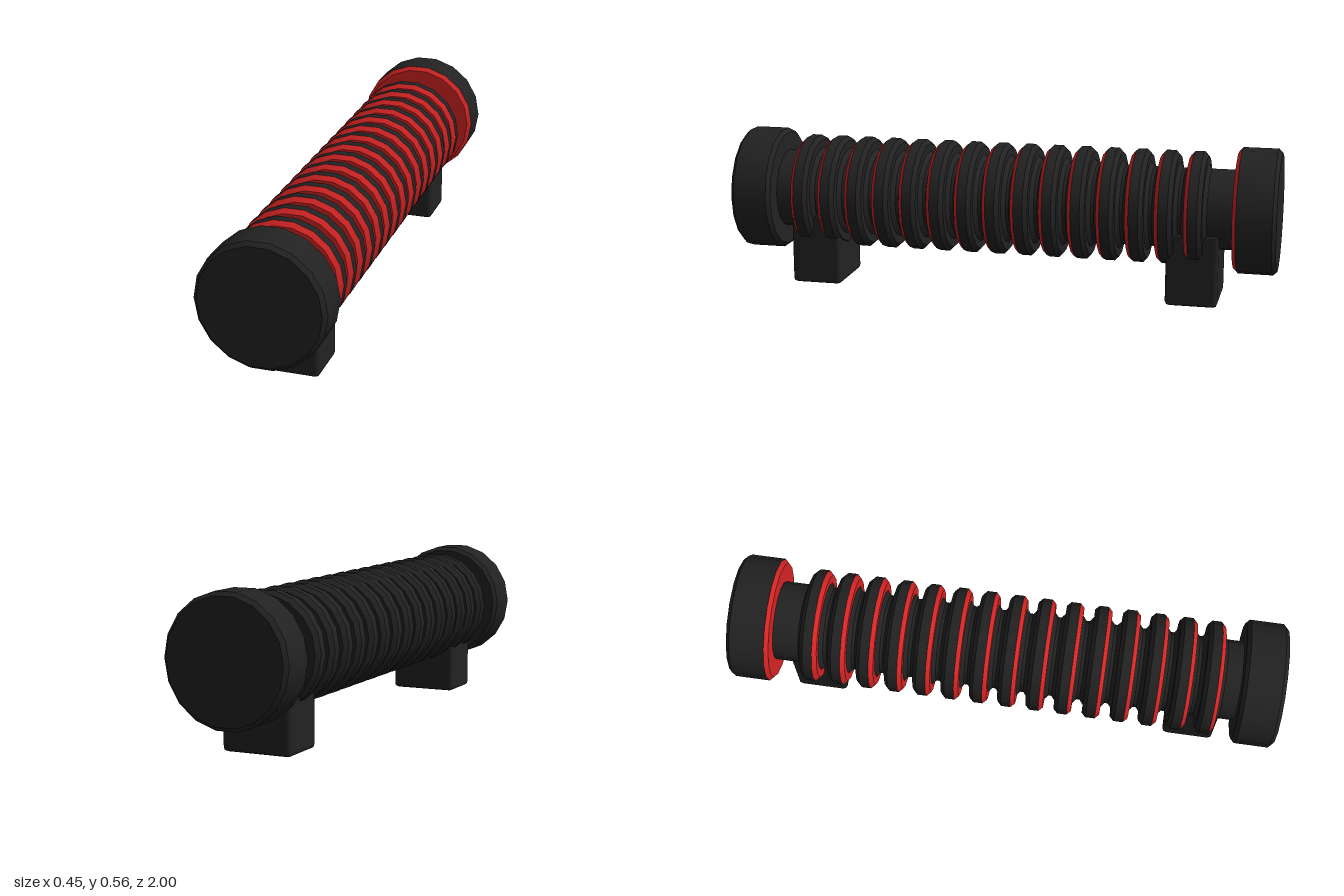
import * as THREE from 'three';
import { mergeGeometries } from 'three/addons/utils/BufferGeometryUtils.js';
import { RoundedBoxGeometry } from 'three/addons/geometries/RoundedBoxGeometry.js';

const SIDES = 18, AXIS_Y = 0.336;

// Turned shape along z from [radius, z] points in order of rising z;
// smooth around the axis, sharp between profile steps.
function turned(points) {
  const bands = [];
  for (let i = 0; i < points.length - 1; i++) {
    const pair = [points[i], points[i + 1]].map(([r, z]) => new THREE.Vector2(r, z));
    bands.push(new THREE.LatheGeometry(pair, SIDES, Math.PI / 2));
  }
  return mergeGeometries(bands).rotateX(Math.PI / 2);
}

export function createModel() {
  const black = new THREE.MeshStandardMaterial({ color: 0x222222 });
  black.name = 'matte black';
  const red = new THREE.MeshStandardMaterial({ color: 0xd42424 });
  red.name = 'red';

  const model = new THREE.Group();
  model.name = 'ribbedCylinder';
  const add = (parent, name, geometry, material) => {
    const mesh = new THREE.Mesh(geometry, material);
    mesh.name = name;
    parent.add(mesh);
    return mesh;
  };

  const body = new THREE.Group();
  body.name = 'body';
  body.position.y = AXIS_Y;
  model.add(body);

  // Central tube
  add(body, 'core', turned([[0.145, -0.86], [0.145, 0.86]]), black);

  // End caps; the rear one has a red inner face
  const R = 0.227, b = 0.014;
  add(body, 'frontCap', turned([
    [0.1, 0.848], [R - b, 0.848], [R, 0.848 + b], [R, 1 - b], [R - b, 1], [0, 1],
  ]), black);
  add(body, 'rearCap', turned([
    [0, -1], [R - b, -1], [R, -1 + b], [R, -0.846 - b],
  ]), black);
  add(body, 'rearCapFace', turned([
    [R, -0.846 - b], [R - b, -0.846], [0.1, -0.846],
  ]), red);

  // Ribs: black back and rim, red front face, small black flares at the root
  const r = 0.206, w = 0.064, c = 0.015;
  const ribBack = turned([
    [0.145, -w - 0.014], [0.162, -w], [r - c, -w], [r, -w + c], [r, -c],
  ]);
  const ribFace = turned([[r, -c], [r - c, 0], [0.162, 0]]);
  const ribRoot = turned([[0.162, 0], [0.145, 0.014]]);
  for (let i = 0; i < 15; i++) {
    const rib = new THREE.Group();
    rib.name = 'rib' + (i + 1);
    rib.position.z = 0.777 - i * 0.1037;
    add(rib, 'ribRim', ribBack, black);
    add(rib, 'ribFace', ribFace, red);
    add(rib, 'ribRoot', ribRoot, black);
    body.add(rib);
  }

  // Mounting feet
  const footGeometry = new RoundedBoxGeometry(0.256, 0.27, 0.188, 1, 0.015);
  for (const [name, z] of [['frontFoot', 0.706], ['rearFoot', -0.702]]) {
    add(model, name, footGeometry, black).position.set(0, 0.135, z);
  }

  return model;
}
